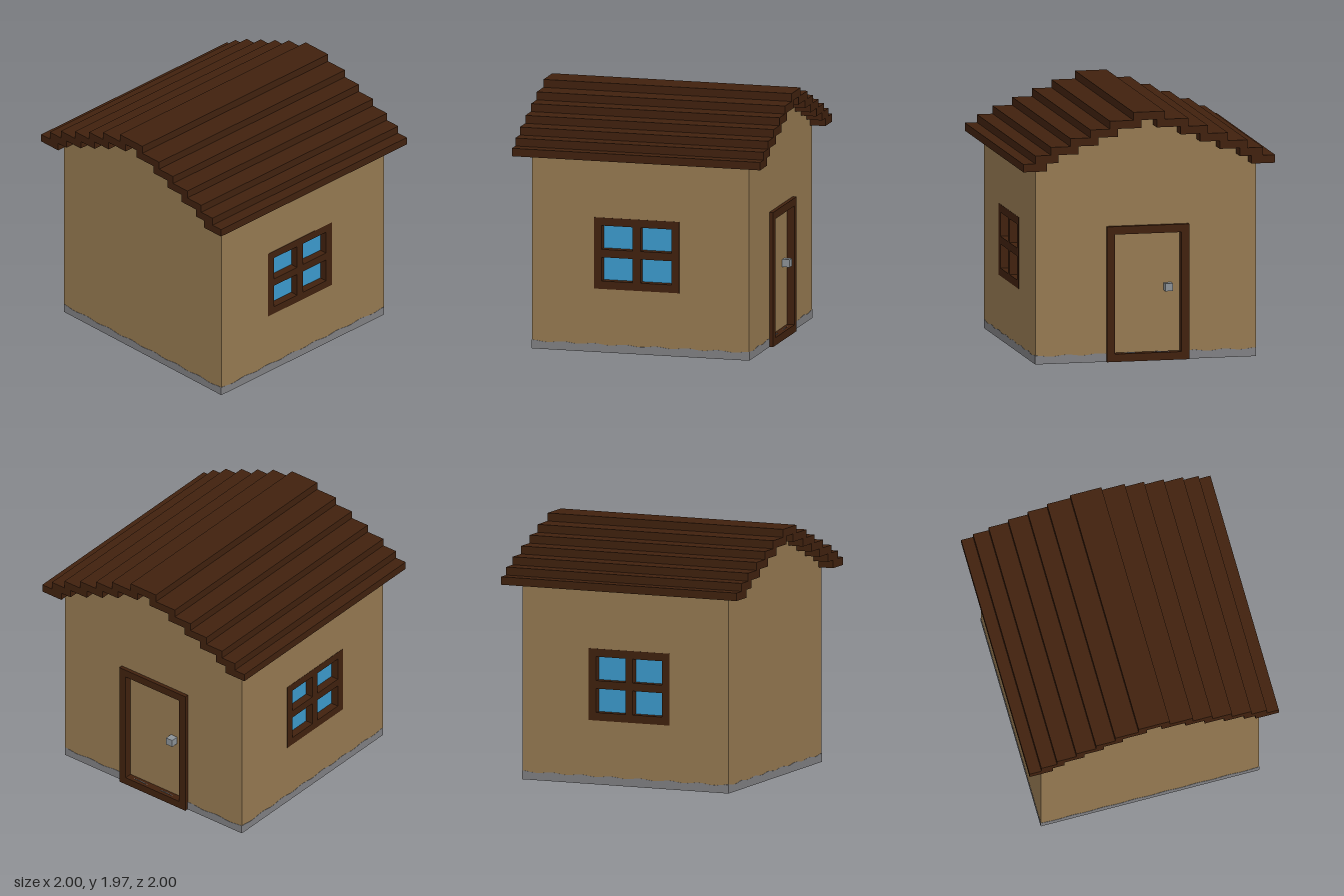
import * as THREE from 'three';

const mat = (name, color) => {
  const m = new THREE.MeshStandardMaterial({ color });
  m.name = name;
  return m;
};

export function createModel() {
  const house = new THREE.Group();
  house.name = 'house';
  const plaster = mat('plaster', 0x957951);
  const wood = mat('darkWood', 0x40210e);
  const stone = mat('stone', 0x808083);
  const glass = mat('glass', 0x3c9acc);
  const metal = mat('metal', 0x8c9297);

  const add = (name, geometry, material, parent = house) => {
    const mesh = new THREE.Mesh(geometry, material);
    mesh.name = name;
    parent.add(mesh);
    return mesh;
  };
  const box = (name, material, x0, x1, y0, y1, z0, z1, parent) => {
    const mesh = add(name, new THREE.BoxGeometry(x1 - x0, y1 - y0, z1 - z0), material, parent);
    mesh.position.set((x0 + x1) / 2, (y0 + y1) / 2, (z0 + z1) / 2);
    return mesh;
  };
  const rect = (x0, x1, y0, y1) =>
    [[x0, y0], [x1, y0], [x1, y1], [x0, y1]].map(p => new THREE.Vector2(...p));
  // Flat panel in x/y with openings, extruded from z0 to z1
  const panel = (outline, holes, z0, z1) => {
    const shape = new THREE.Shape(outline);
    holes.forEach(h => shape.holes.push(new THREE.Path(h)));
    return new THREE.ExtrudeGeometry(shape, { depth: z1 - z0, bevelEnabled: false }).translate(0, 0, z0);
  };

  const W = 0.875, T = 0.1, STEP = 0.0625, EAVE = 1.5325, BAR = 0.0625;

  // Stepped roof boards, listed from the ridge down: inner and outer edge
  const boards = [[0.06, 0.312], [0.25, 0.467], [0.405, 0.625], [0.56, 0.78], [0.72, 0.905], [0.812, 1]];
  const roof = new THREE.Group();
  roof.name = 'roof';
  house.add(roof);
  const ridgeY = EAVE + 6 * STEP;
  box('ridgeBoard', wood, -0.125, 0.125, ridgeY, ridgeY + STEP, -1, 1, roof);
  boards.forEach(([inner, outer], i) => {
    const y = ridgeY - (i + 1) * STEP;
    box('roofBoardLeft', wood, inner, outer, y, y + STEP, -1, 1, roof);
    box('roofBoardRight', wood, -outer, -inner, y, y + STEP, -1, 1, roof);
  });

  // Gable walls follow the undersides of the boards
  const half = [[W, 0.02], [W, EAVE]];
  for (let i = boards.length - 1; i >= 0; i--) {
    const y = ridgeY - (i + 1) * STEP;
    half.push([boards[i][0], y], [boards[i][0], y + STEP]);
  }
  const gable = [...half, ...half.map(([x, y]) => [-x, y]).reverse()].map(p => new THREE.Vector2(...p));
  const door = { x0: -0.34, x1: 0.3125, top: 1.0625 };
  add('frontWall', panel(gable, [], W - T, W), plaster);
  add('backWall', panel(gable, [rect(door.x0, door.x1, 0.05, door.top)], -W, T - W), plaster);

  // Side walls with a four-pane window each; local x runs along z
  const win = { u0: -0.3125, u1: 0.375, y0: 0.5, y1: 1.0625 };
  const opening = rect(win.u0, win.u1, win.y0, win.y1);
  const panes = [];
  const pw = 0.25, ph = 0.1875;
  for (let i = 0; i < 2; i++) for (let j = 0; j < 2; j++) {
    const u = win.u0 + BAR + i * (pw + BAR), y = win.y0 + BAR + j * (ph + BAR);
    panes.push(rect(u, u + pw, y, y + ph));
  }
  for (const [side, turn] of [[1, -Math.PI / 2], [-1, -Math.PI / 2]]) {
    const group = new THREE.Group();
    group.name = side > 0 ? 'leftSide' : 'rightSide';
    group.rotation.y = turn;
    house.add(group);
    // Local z points to -x, so depth ranges are mirrored per side
    const put = (name, outline, holes, inner, outer, material) => {
      const [a, b] = side > 0 ? [-outer, -inner] : [inner, outer];
      add(name, panel(outline, holes, a, b), material, group);
    };
    put('sideWall', rect(T - W, W - T, 0.02, EAVE), [opening], W - T, W, plaster);
    put('windowFrame', opening, panes, W - T, W + 0.002, wood);
    put('windowGlass', rect(win.u0 + 0.02, win.u1 - 0.02, win.y0 + 0.02, win.y1 - 0.02), [], W - 0.07, W - 0.062, glass);
  }

  // Back door: raised frame, recessed leaf and square knob
  const doorGroup = new THREE.Group();
  doorGroup.name = 'door';
  house.add(doorGroup);
  add('doorFrame', panel(rect(door.x0, door.x1, 0.001, door.top),
    [rect(door.x0 + BAR, door.x1 - BAR, BAR, door.top - BAR)], -0.906, T - W), wood, doorGroup);
  box('doorLeaf', plaster, door.x0 + 0.03, door.x1 - 0.03, 0.03, door.top - 0.03, -0.844, -0.8, doorGroup);
  box('doorKnob', metal, -0.21, -0.15, 0.54, 0.6, -0.905, -0.84, doorGroup);

  // Floor slab and a thin stone skirting with a wavy top
  box('floor', stone, -W, W, 0, 0.02, -W, W);
  const wave = [new THREE.Vector2(-W, 0), new THREE.Vector2(W, 0)];
  for (let i = 0; i <= 56; i++) {
    const x = W - (i / 56) * 2 * W;
    wave.push(new THREE.Vector2(x, 0.063 + 0.006 * Math.cos((i / 56) * Math.PI * 14)));
  }
  for (let k = 0; k < 4; k++) {
    add('skirting', panel(wave, [], W - 0.002, W + 0.002), stone).rotation.y = k * Math.PI / 2;
  }
  return house;
}
